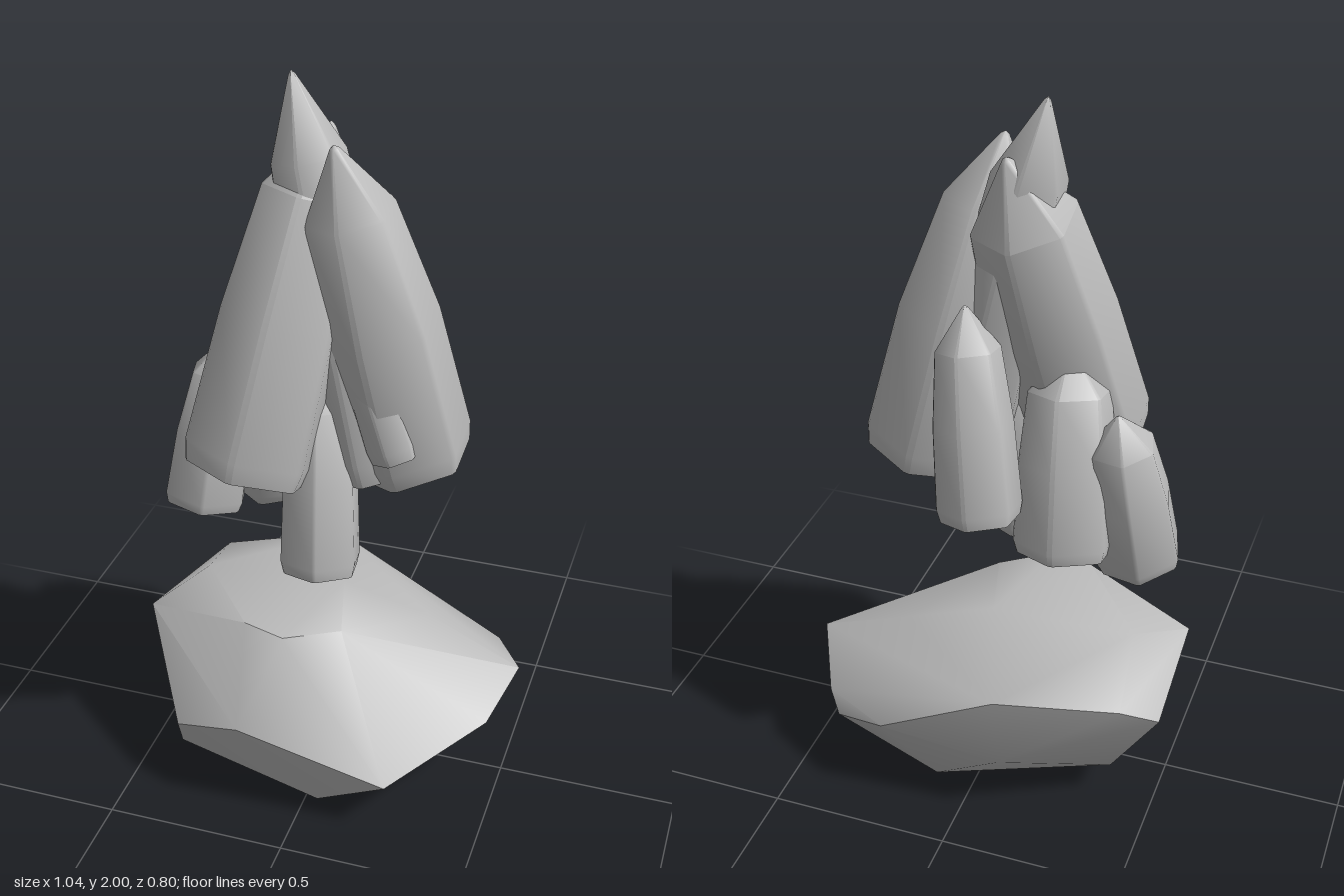
import * as THREE from 'three';
import { toCreasedNormals } from 'three/addons/utils/BufferGeometryUtils.js';
import { ConvexGeometry } from 'three/addons/geometries/ConvexGeometry.js';

const stone = new THREE.MeshStandardMaterial({ color: 0xbbbbbb });
stone.name = 'paleStone';

// Six-sided crystal with narrow chamfers, from the centre of its flat base to its tip
function crystal(name, base, tip, radius, shoulder = 0.66, twist = 0) {
  const a = new THREE.Vector3(...base);
  const axis = new THREE.Vector3(...tip).sub(a);
  const length = axis.length();
  const profile = [[0, 0], [0.93, 0], [1, 0.06], [0.93, 0.45], [shoulder, 0.8], [0.07, 0.99], [0, 1]]
    .map(([r, t]) => new THREE.Vector2(r * radius, t * length));
  const lathe = new THREE.LatheGeometry(profile, 12);

  // Gather the twelve columns in pairs at the six corners
  const position = lathe.attributes.position;
  for (let v = 0; v < position.count; v++) {
    const column = Math.floor(v / profile.length);
    const r = profile[v % profile.length].x;
    const angle = Math.floor(column / 2) * Math.PI / 3 + (column % 2 ? 0.05 : -0.05) + twist;
    position.setX(v, r * Math.sin(angle));
    position.setZ(v, r * Math.cos(angle));
  }

  const mesh = new THREE.Mesh(toCreasedNormals(lathe, 0.65), stone);
  mesh.name = name;
  mesh.position.copy(a);
  mesh.quaternion.setFromUnitVectors(new THREE.Vector3(0, 1, 0), axis.normalize());
  return mesh;
}

// Faceted boulder: crown, uneven waist and slanted underside
function boulder() {
  const corners = [
    [-0.4, 0.49, -0.05], [-0.2, 0.505, 0.2], [-0.08, 0.5, 0.23], [0.06, 0.492, 0.14],
    [0, 0.5, -0.08], [0.25, 0.42, -0.1],
    [-0.52, 0.34, -0.21], [-0.52, 0.43, 0.1], [-0.43, 0.41, -0.29], [-0.36, 0.21, 0.33],
    [-0.16, 0.29, 0.395], [0.25, 0.16, 0.36], [0.47, 0.24, 0.1], [0.52, 0.31, -0.08],
    [0.42, 0.25, -0.28], [0.38, 0.2, -0.32], [0.22, 0.26, -0.39], [-0.11, 0.44, -0.4],
    [-0.11, 0.2, -0.36],
    [-0.37, 0.11, 0.28], [-0.38, 0.11, -0.17], [0.05, 0.045, 0.33], [0.3, 0, 0],
    [0.1, 0.03, -0.28],
  ].map((p) => new THREE.Vector3(...p));
  const mesh = new THREE.Mesh(toCreasedNormals(new ConvexGeometry(corners), 0.8), stone);
  mesh.name = 'boulder';
  return mesh;
}

export function createModel() {
  const model = new THREE.Group();
  model.name = 'floatingCrystals';

  // Crystals fan out downward from the peak
  const cluster = new THREE.Group();
  cluster.name = 'crystalCluster';
  cluster.add(
    crystal('peakCrystal', [0.11, 0.95, 0.01], [-0.13, 2, -0.05], 0.13, 0.75),
    crystal('frontLargeCrystal', [-0.19, 0.98, 0.158], [-0.045, 1.86, -0.11], 0.183, 0.75),
    crystal('sideLargeCrystal', [0.193, 0.97, -0.05], [0.01, 1.86, 0.05], 0.178),
    crystal('backCrystal', [-0.025, 0.92, -0.247], [0.05, 1.47, -0.142], 0.112, 0.75),
    crystal('lowBackCrystal', [-0.22, 0.79, -0.13], [-0.19, 1.33, -0.02], 0.14, 0.78),
    crystal('outerCrystal', [-0.395, 0.735, -0.025], [-0.345, 1.21, -0.11], 0.12, 0.72, Math.PI / 12),
    crystal('lowFrontCrystal', [0, 0.69, 0.138], [-0.03, 1.25, 0.03], 0.112, 0.72, 0.15),
    crystal('sliverCrystal', [0.19, 1.045, 0.085], [0.01, 1.6, 0.075], 0.07),
  );
  model.add(cluster, boulder());
  return model;
}
